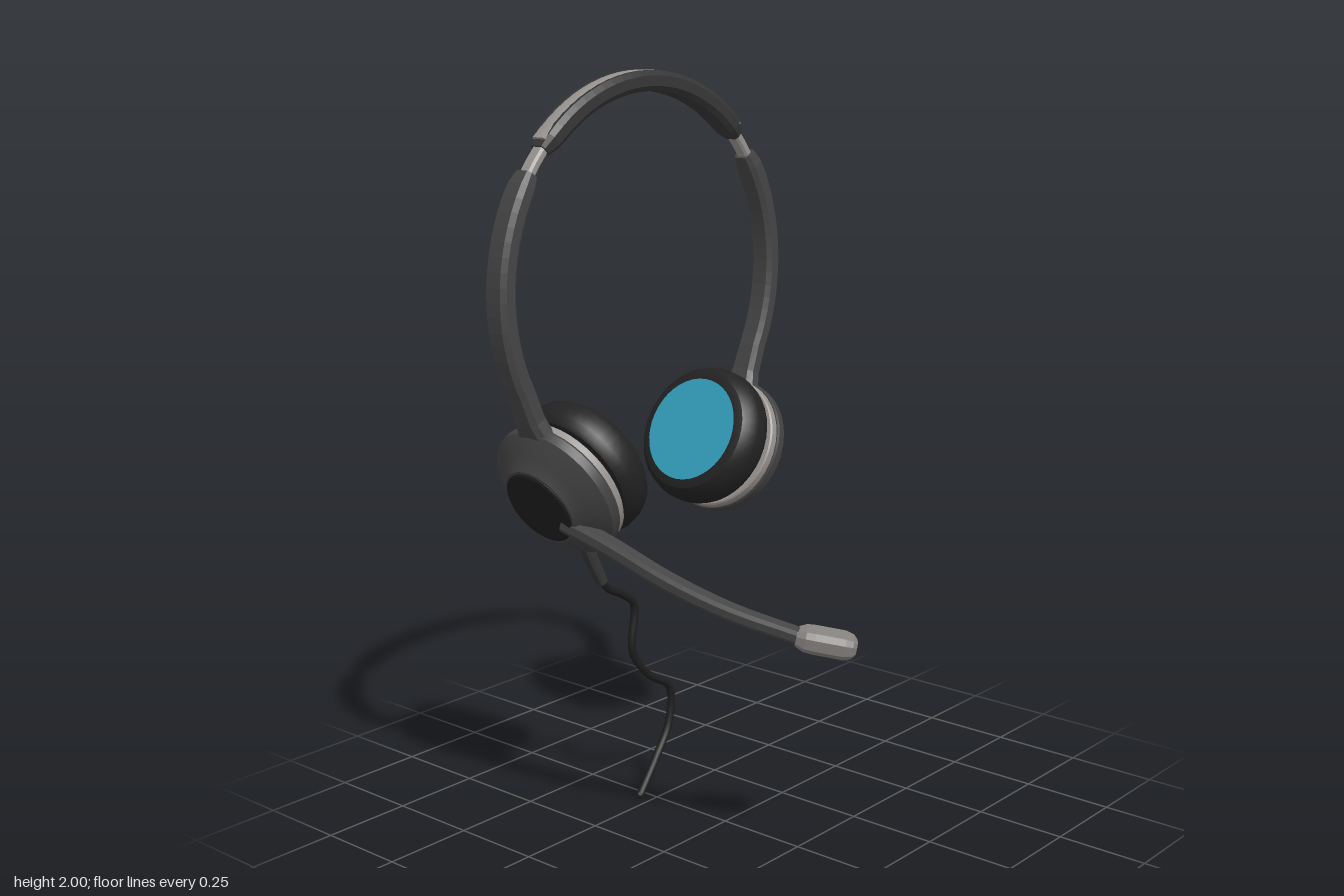
import * as THREE from 'three';
import { toCreasedNormals } from 'three/addons/utils/BufferGeometryUtils.js';

const V = (x, y, z) => new THREE.Vector3(x, y, z);
const mat = (color, flatShading = false) => new THREE.MeshStandardMaterial({ color, flatShading });
const Z = -0.281; // plane of the headband
const HEAD = { y: 1.46, r: 0.513 }; // circle followed by band and arms

const shellMat = mat(0x434343), armMat = mat(0x454545, true), bandMat = mat(0x363636, true);
const foamMat = mat(0x222222), capMat = mat(0x1e1e1e), silverMat = mat(0x98938f);
const tealMat = mat(0x349fbd), micMat = mat(0x85817d, true);

function add(parent, name, geometry, material) {
  const mesh = new THREE.Mesh(geometry, material);
  mesh.name = name;
  parent.add(mesh);
  return mesh;
}

// Bevelled rectangular section swept along points; size(t) gives [half width, half thickness]
const SECTION = [[1, -0.5], [1, 0.5], [0.7, 1], [-0.7, 1], [-1, 0.5], [-1, -0.5], [-0.7, -1], [0.7, -1]];
function sweep(points, hint, size) {
  const n = SECTION.length, last = points.length - 1, pos = [], index = [];
  points.forEach((p, i) => {
    const tangent = points[Math.min(i + 1, last)].clone().sub(points[Math.max(i - 1, 0)]).normalize();
    const side = hint.clone().addScaledVector(tangent, -hint.dot(tangent)).normalize();
    const normal = tangent.clone().cross(side);
    const [w, h] = size(i / last);
    for (const [a, b] of SECTION) {
      const q = p.clone().addScaledVector(side, a * w).addScaledVector(normal, b * h);
      pos.push(q.x, q.y, q.z);
    }
  });
  for (let i = 0; i < last; i++) {
    for (let j = 0; j < n; j++) {
      const a = i * n + j, b = i * n + (j + 1) % n;
      index.push(a, b, b + n, a, b + n, a + n);
    }
  }
  for (let j = 1; j < n - 1; j++) {
    index.push(0, j + 1, j, last * n, last * n + j, last * n + j + 1);
  }
  const g = new THREE.BufferGeometry();
  g.setAttribute('position', new THREE.Float32BufferAttribute(pos, 3));
  g.setIndex(index);
  return toCreasedNormals(g, 0.5);
}

// Points on the head circle between two angles in degrees
function arc(from, to, steps, r = HEAD.r) {
  return Array.from({ length: steps + 1 }, (_, i) => {
    const a = THREE.MathUtils.degToRad(from + (to - from) * i / steps);
    return V(r * Math.cos(a), HEAD.y + r * Math.sin(a), Z);
  });
}

const lathe = (profile) => toCreasedNormals(
  new THREE.LatheGeometry(profile.map(([r, y]) => new THREE.Vector2(r, y)), 40), 0.5);

// Ear cup: local +y points outward, away from the ear
function earCup(side) {
  const cup = new THREE.Group();
  cup.name = side > 0 ? 'leftEarCup' : 'rightEarCup';
  cup.position.set(side * 0.305, 0.965, Z);
  cup.rotation.z = -side * 2.025;

  add(cup, 'cushion', lathe([[0, -0.13], [0.148, -0.13], [0.168, -0.124], [0.183, -0.108], [0.192, -0.08],
    [0.192, -0.05], [0.187, -0.032], [0.178, -0.022], [0, -0.022]]), foamMat);
  add(cup, 'neck', new THREE.CylinderGeometry(0.15, 0.15, 0.04, 40).translate(0, -0.012, 0), foamMat);
  add(cup, 'trimRing', lathe([[0, -0.008], [0.182, -0.008], [0.186, -0.004], [0.186, 0.018], [0, 0.018]]), silverMat);
  add(cup, 'shell', lathe([[0, 0.016], [0.189, 0.016], [0.192, 0.022], [0.19, 0.047], [0.17, 0.064],
    [0.142, 0.082], [0.124, 0.095], [0.113, 0.107], [0, 0.107]]), shellMat);
  add(cup, 'shellCap', lathe([[0, 0.1], [0.106, 0.1], [0.106, 0.108], [0.1, 0.112], [0, 0.112]]), capMat);

  // Coloured speaker cloth: a full disc on the left, separate wedges on the right
  if (side > 0) {
    add(cup, 'speakerCloth', new THREE.CircleGeometry(0.145, 40).rotateX(Math.PI / 2).translate(0, -0.132, 0), tealMat);
  } else {
    const wedges = [[0.12, 0.45], [0.72, 0.5], [2.0, 0.3], [2.42, 0.55], [3.2, 0.5], [3.85, 0.4], [5.05, 0.5], [5.7, 0.4]];
    for (const [start, length] of wedges) {
      add(cup, 'speakerClothWedge', new THREE.RingGeometry(0.045, 0.145, 8, 1, start, length)
        .rotateX(Math.PI / 2).translate(0, -0.132, 0), tealMat);
    }
  }
  return cup;
}

export function createModel() {
  const model = new THREE.Group();
  model.name = 'headset';
  const zAxis = V(0, 0, 1);

  // Headband with tapered ends and an inlaid strip on top
  const taper = (w, h, end) => (t) => {
    const k = Math.min(1, 0.65 + Math.min(t, 1 - t) / end * 0.35);
    return [w * k, h * k];
  };
  add(model, 'headband', sweep(arc(44, 136, 24), zAxis, taper(0.037, 0.0265, 0.05)), bandMat);
  add(model, 'headbandStrip', sweep(arc(46, 134, 24, 0.535), zAxis, () => [0.022, 0.005]), silverMat);

  for (const side of [1, -1]) {
    const mirror = (points) => points.map((p) => V(p.x * side, p.y, p.z));
    // Sliding adjuster between band and arm
    add(model, 'slider', sweep(mirror(arc(30, 49, 4)), zAxis, () => [0.019, 0.013]), silverMat);
    // Arm running down the head circle and flaring into the cup
    const armPath = [...arc(36, -28, 16), V(0.425, 1.15, Z), V(0.4, 1.1, Z), V(0.375, 1.04, Z)];
    add(model, 'arm', sweep(mirror(armPath), zAxis, (t) => {
      const flare = Math.max(0, (t - 0.86) / 0.14);
      const k = Math.min(1, 0.75 + t * 4);
      return [0.034 * k + 0.05 * flare * flare, 0.027 * k];
    }), armMat);
    model.add(earCup(side));
  }

  // Microphone boom on the right cup
  const boom = new THREE.CatmullRomCurve3([V(-0.37, 0.885, -0.22), V(-0.338, 0.835, -0.09), V(-0.294, 0.765, 0.06),
    V(-0.22, 0.697, 0.2), V(-0.128, 0.64, 0.36)]);
  add(model, 'microphoneBoom', sweep(boom.getPoints(16), V(1, 0, 0), (t) => [0.024 - 0.005 * t, 0.022 - 0.003 * t]), armMat);
  const tipStart = V(-0.138, 0.643, 0.345), tipEnd = V(-0.045, 0.615, 0.463);
  const tipSteps = [[0, 0.65], [0.15, 0.95], [0.3, 1], [0.8, 1], [0.93, 0.85], [1, 0.55]];
  add(model, 'microphone', sweep(tipSteps.map(([t]) => tipStart.clone().lerp(tipEnd, t)), V(1, 0, 0), (t) => {
    const k = tipSteps[Math.round(t * (tipSteps.length - 1))][1];
    return [0.036 * k, 0.029 * k];
  }), micMat);

  // Cable with a thicker strain relief at the cup
  const relief = new THREE.CatmullRomCurve3([V(-0.25, 0.83, Z), V(-0.222, 0.755, Z), V(-0.175, 0.665, Z)]);
  add(model, 'strainRelief', sweep(relief.getPoints(8), zAxis, (t) => [0.018 - 0.005 * t, 0.02 - 0.007 * t]), bandMat);
  const cable = new THREE.CatmullRomCurve3([[-0.19, 0.69], [-0.155, 0.645], [-0.095, 0.612], [-0.053, 0.575], [-0.06, 0.44],
    [0.005, 0.355], [0.09, 0.295], [0.085, 0.19], [0.03, 0.1], [-0.038, 0.008]].map(([x, y]) => V(x, y, Z)));
  add(model, 'cable', new THREE.TubeGeometry(cable, 70, 0.011, 8), capMat);
  const plug = add(model, 'cableEnd', new THREE.SphereGeometry(0.011, 8, 6), capMat);
  plug.position.set(-0.038, 0.011, Z);

  return model;
}
